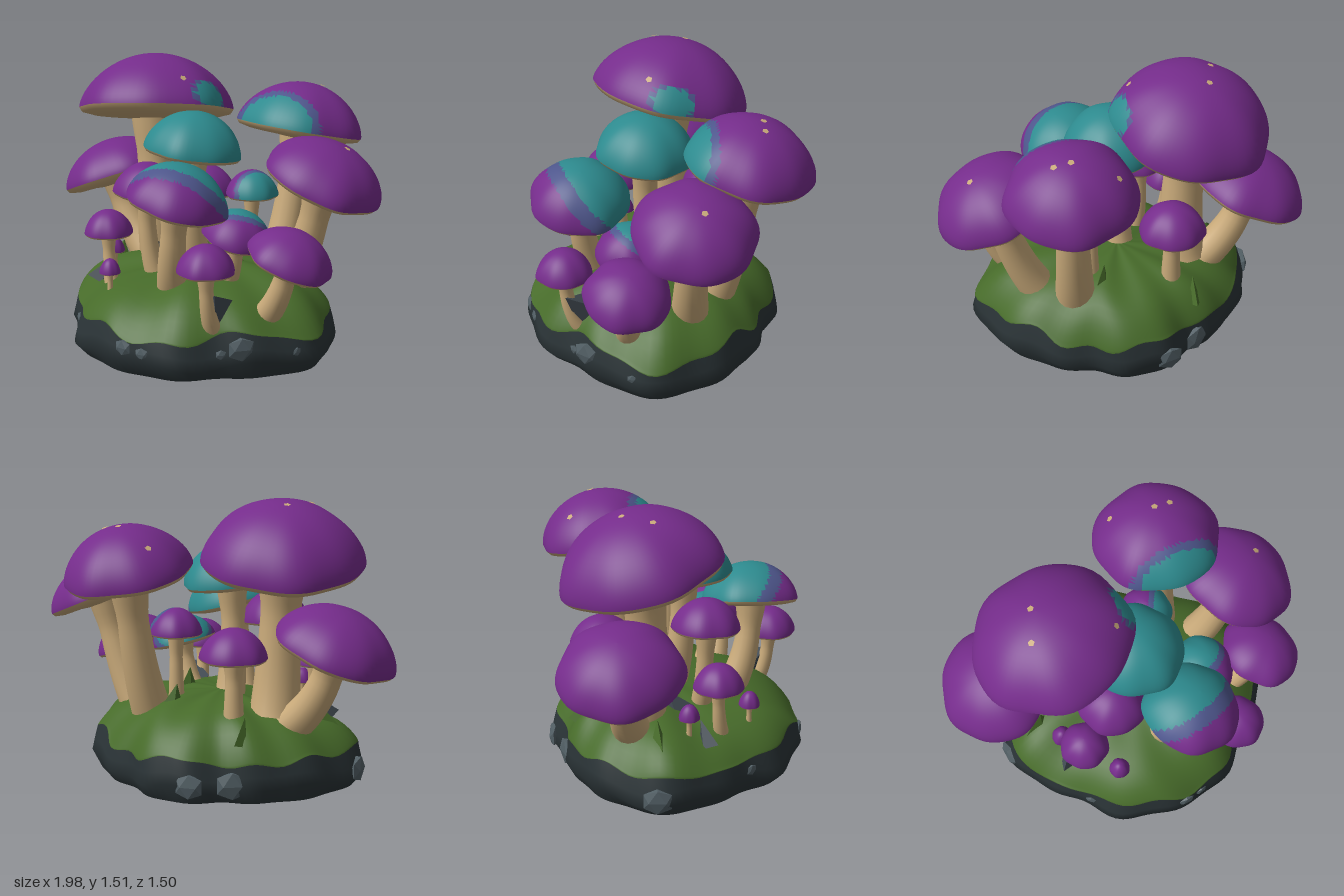
import * as THREE from 'three';

const paint = (name, color) => Object.assign(new THREE.MeshStandardMaterial({ color }), { name });
const purple = paint('purple cap', 0x752c8b);
const teal = paint('teal cap', 0x2d8a8e);
const blend = paint('dusky blue', 0x4e568c);
const cream = paint('cream stem', 0xc9aa7a);
const moss = paint('moss green', 0x476b2a);
const rock = paint('dark rock', 0x2a3336);
const stone = paint('grey stone', 0x525f65);
const slate = paint('slate', 0x434c54);

const V = (x, y, z) => new THREE.Vector3(x, y, z);
const ring = (rad, a, y) => V(rad * Math.cos(a), y, rad * Math.sin(a));
const UP = V(0, 1, 0);

// Closed surface of stacked rings, from top to bottom; pick() gives a face its material index
function loft(name, nu, nv, point, mats, pick = () => 0) {
  const pos = [], faces = mats.map(() => []);
  for (let j = 0; j <= nv; j++)
    for (let i = 0; i < nu; i++) pos.push(point((i / nu) * Math.PI * 2, j));
  for (let j = 0; j < nv; j++)
    for (let i = 0; i < nu; i++) {
      const k = (i + 1) % nu, a = j * nu + i, b = j * nu + k, c = a + nu, d = b + nu;
      for (const f of [[a, b, c], [b, d, c]]) {
        const mid = V(0, 0, 0);
        f.forEach(n => mid.addScaledVector(pos[n], 1 / 3));
        faces[pick(mid, j)].push(...f);
      }
    }
  const g = new THREE.BufferGeometry().setFromPoints(pos);
  g.setIndex(faces.flat());
  let start = 0;
  faces.forEach((f, n) => { g.addGroup(start, f.length, n); start += f.length; });
  g.computeVertexNormals();
  const m = new THREE.Mesh(g, mats);
  m.name = name;
  return m;
}

// Mound: a wavy four-cornered outline, and a height that falls to the edge and dips at the front right
const edge = a => 0.69 + 0.04 * Math.cos(2 * a) + 0.03 * Math.cos(4 * a) + 0.07 * Math.sin(a) + 0.015 * Math.cos(a)
  + 0.013 * Math.sin(7 * a) + 0.01 * Math.sin(13 * a);
const rise = (q, a) => 0.46 - 0.1 * q ** 2 - 0.18 * q ** 6
  - 0.25 * q * (1 - q) * Math.max(0, Math.cos(a - Math.PI * 0.75)) ** 2;
function ground(x, z) {
  const a = Math.atan2(z, x);
  return rise(Math.min(1, Math.hypot(x, z) / edge(a)), a);
}

function mound() {
  const slope = 14, skirt = [[1, 0.14], [1.02, 0.08], [0.95, 0], [0.94, 0], [0, 0]];
  return loft('mossyMound', 110, slope + skirt.length, (a, j) => {
    const hem = 0.975 + 0.016 * Math.sin(5 * a + 1) + 0.009 * Math.sin(14 * a);
    const q = hem * Math.sin((Math.min(j, slope) / slope) * Math.PI / 2);
    const [k, y] = j <= slope ? [q, rise(q, a)] : skirt[j - slope - 1];
    const lump = y > 0 ? k * (0.016 * Math.sin(6 * a + j * 0.3) + 0.01 * Math.sin(11 * a + 1)) : 0;
    return ring(k * edge(a), a, y + lump);
  }, [moss, rock], (p, j) => (j < slope ? 0 : 1));
}

// Mushrooms: cap rim centre c, radius r, slope s of the rim in x and z, foot of the stem in x and z
const large = [
  { name: 'tallMushroom', c: [-0.38, 1.2, -0.06], r: 0.42, s: [0.14, 0.21], foot: [-0.35, -0.08] },
  { name: 'backMushroom', c: [0.34, 1.12, -0.4], r: 0.335, s: [-0.05, 0.21], foot: [0.3, -0.25] },
  { name: 'leftMushroom', c: [0.68, 0.94, -0.1], r: 0.31, s: [-0.42, 0.06], foot: [0.48, -0.1] },
  { name: 'rightMushroom', c: [-0.7, 0.77, -0.11], r: 0.32, s: [0.4, 0], foot: [-0.45, -0.1] },
  { name: 'tealMushroom', c: [0, 1.04, 0.1], r: 0.26, s: [-0.1, 0.08], foot: [-0.02, 0.04] },
  { name: 'frontMushroom', c: [0.17, 0.86, 0.45], r: 0.26, s: [-0.28, 0.05], foot: [0.07, 0.36] },
  { name: 'lowLeftMushroom', c: [0.7, 0.6, 0.23], r: 0.22, s: [-0.4, 0.08], foot: [0.57, 0.22] },
];
const small = [
  { name: 'innerMushroom', c: [0.36, 0.65, 0.2], r: 0.18, s: [-0.28, 0], foot: [0.28, 0.18] },
  { name: 'middleMushroom', c: [-0.19, 0.82, 0.25], r: 0.18, s: [-0.1, 0], foot: [-0.15, 0.22] },
  { name: 'smallRightMushroom', c: [-0.39, 0.58, 0.34], r: 0.13, foot: [-0.35, 0.36] },
  { name: 'smallFrontMushroom', c: [0.42, 0.57, 0.54], r: 0.145, foot: [0.41, 0.47] },
  { name: 'smallBackMushroom', c: [-0.22, 0.71, -0.29], r: 0.175 },
  { name: 'hiddenMushroom', c: [0.19, 0.78, -0.17], r: 0.14 },
  { name: 'tinyRightMushroom', c: [-0.47, 0.43, 0.2], r: 0.055 },
  { name: 'tinyFrontMushroom', c: [-0.25, 0.42, 0.49], r: 0.055 },
];

// Teal ball on a cap: x, y, z, size in units of the cap
const patches = {
  tallMushroom: [0.96, 0.18, 0.08, 0.26],
  backMushroom: [0.05, 0.05, 1.35, 0.87],
  tealMushroom: [0, 0, 0, 9],
  frontMushroom: [-0.3, 0.4, -0.7, 1.18],
  innerMushroom: [-0.3, 0.5, -0.4, 0.85],
  hiddenMushroom: [0.6, 0.2, 0.3, 0.85],
};

// Pale specks on a cap: x, z in units of its radius
const specks = {
  tallMushroom: [[-0.05, -0.05], [-0.2, 0.33], [0.75, 0.4]],
  backMushroom: [[-0.63, -0.28], [0, -0.03], [0.25, -0.03]],
  leftMushroom: [[0.12, -0.08]],
};

function mushroom({ name, c, r, s = [0, 0], foot = [c[0], c[2]] }, n) {
  const group = new THREE.Group();
  group.name = name;
  const centre = V(...c), normal = V(-s[0], 1, -s[1]).normalize();
  const h = (0.04 + 0.67 * r) * (1 - s[0] ** 2 - s[1] ** 2);
  const cap = new THREE.Group();
  cap.name = 'cap';
  cap.position.copy(centre);
  cap.quaternion.setFromUnitVectors(UP, normal);
  const wobble = a => 0.02 * Math.sin(5 * a + n * 2) + 0.012 * Math.sin(8 * a + n);

  // Dome
  const patch = patches[name], rings = 20;
  cap.add(loft('dome', 60, rings, (a, j) => {
    const t = (j / rings) * Math.PI / 2, q = Math.sin(t);
    return ring(r * q * (1 + wobble(a) * q), a, h * Math.max(0, Math.cos(t)) ** 1.25);
  }, [purple, teal, blend], p => {
    if (!patch) return 0;
    const [x, y, z, size] = patch;
    const d = V(p.x / r, p.y / h, p.z / r).distanceTo(V(x, y, z)) / size;
    return d < 1 ? 1 : d < 1.17 ? 2 : 0;
  }));

  // Underside
  const under = [[1, 0], [0.96, -0.06], [0.8, -0.1], [0.5, -0.11], [0.25, -0.15], [0, -0.15]];
  cap.add(loft('underside', 60, under.length - 1, (a, j) => {
    const [q, y] = under[j];
    return ring(r * q * (1 + wobble(a)), a, r * y);
  }, [cream]));

  // Specks
  for (const [x, z] of specks[name] ?? []) {
    const p = V(x * r, h * (1 - x * x - z * z) ** 0.625, z * r);
    const out = V(p.x / r ** 2, p.y / h ** 2, p.z / r ** 2).normalize();
    const dot = new THREE.Mesh(new THREE.CircleGeometry(0.018, 5), cream);
    dot.name = 'speck';
    dot.position.copy(p).addScaledVector(out, 0.007);
    dot.quaternion.setFromUnitVectors(V(0, 0, 1), out);
    cap.add(dot);
  }

  // Curved stem, flared under the cap and thick at the foot
  const base = V(foot[0], ground(...foot) - 0.05, foot[1]);
  const down = normal.clone().add(UP).normalize();
  const bend = centre.clone().addScaledVector(down, -0.65 * (centre.y - base.y));
  const curve = new THREE.QuadraticBezierCurve3(centre, bend, base);
  const stem = loft('stem', 16, 14, (a, j) => {
    const t = j / 14, rad = r * (0.22 + 0.1 * t + 0.12 * Math.max(0, 1 - t * 4));
    const turn = new THREE.Quaternion().setFromUnitVectors(UP, curve.getTangent(t).negate());
    return ring(rad, a, 0).applyQuaternion(turn).add(curve.getPoint(t));
  }, [cream]);
  group.add(cap, stem);
  return group;
}

// Flat stone set in the rim: angle in degrees, height, size
const stones = [[174, 0.1, 0.085], [86, 0.15, 0.05], [78, 0.13, 0.04], [38, 0.17, 0.075], [46, 0.14, 0.03],
  [16, 0.13, 0.027], [130, 0.14, 0.035], [237, 0.1, 0.09], [258, 0.1, 0.08]];

function rimStone([deg, y, size]) {
  const a = THREE.MathUtils.degToRad(deg);
  const m = new THREE.Mesh(new THREE.IcosahedronGeometry(size, 0), stone);
  m.name = 'stone';
  m.position.copy(ring(edge(a), a, y));
  m.rotation.y = -a;
  m.scale.set(0.35, 0.9, 1);
  return m;
}

// Spikes standing on the mound: x, z, lean, size
const shards = [[0.42, 0.45, 2.7, 0.15], [-0.46, 0.28, 0.5, 0.08], [-0.27, 0.08, 0.4, 0.1]];
const tufts = [[0.15, -0.26, 0.2, 0.07], [-0.32, -0.38, -0.3, 0.07], [-0.55, 0.05, 0.2, 0.09], [0.22, 0.02, 0.1, 0.07]];

function spike(name, mat, [x, z, lean, size]) {
  const g = new THREE.ConeGeometry(size, 0.15, 4).toNonIndexed();
  g.computeVertexNormals();
  const m = new THREE.Mesh(g, mat);
  m.name = name;
  m.position.set(x, ground(x, z) + 0.02, z);
  m.rotation.set(0, x * 5, lean);
  m.scale.z = 0.5;
  return m;
}

export function createModel() {
  const model = new THREE.Group();
  model.name = 'mushroomCluster';
  model.add(mound());
  stones.forEach(p => model.add(rimStone(p)));
  shards.forEach(p => model.add(spike('slateShard', slate, p)));
  tufts.forEach(p => model.add(spike('mossTuft', moss, p)));
  [...large, ...small].forEach((m, n) => model.add(mushroom(m, n)));
  return model;
}
